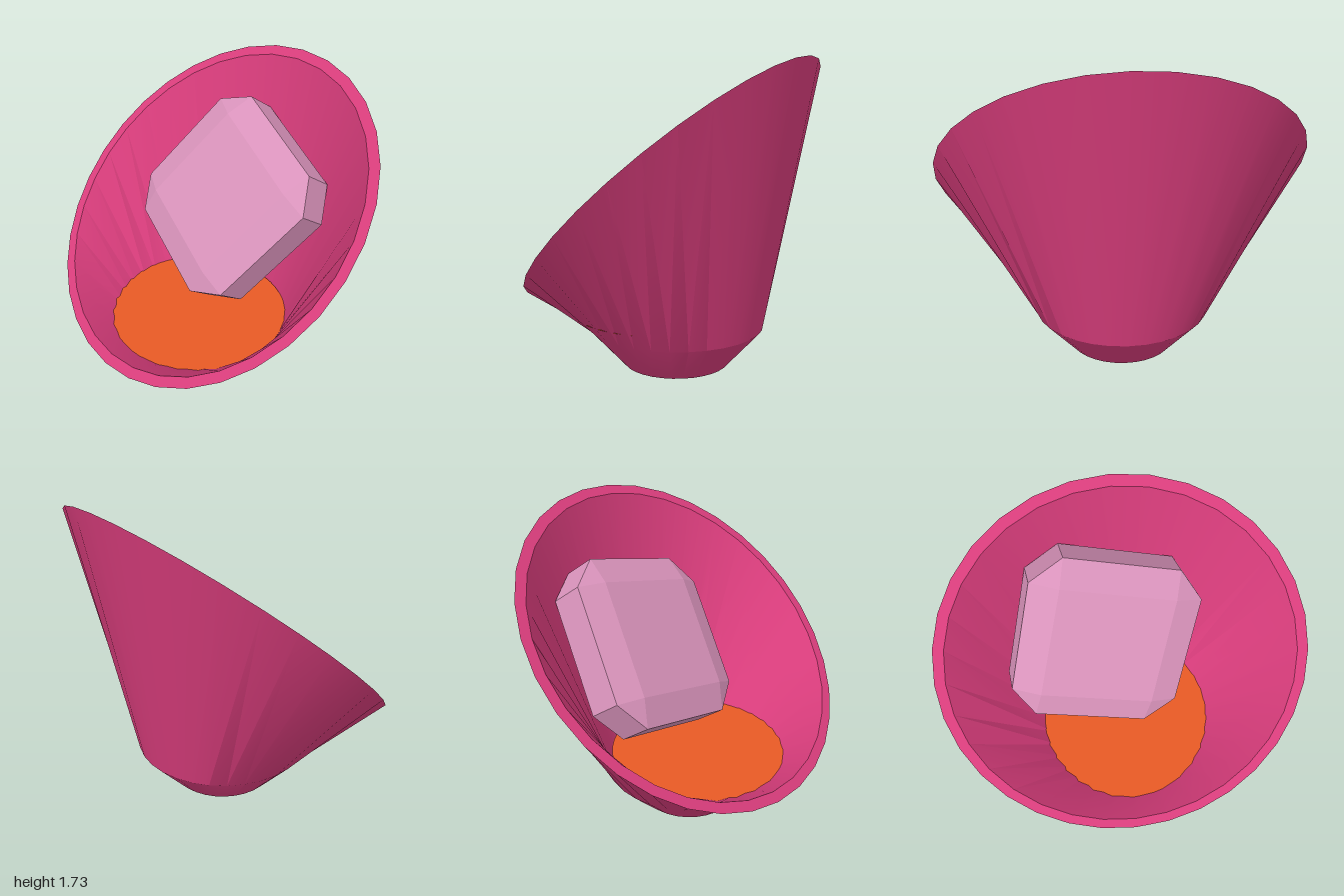
import * as THREE from 'three';
import { toCreasedNormals } from 'three/addons/utils/BufferGeometryUtils.js';
import { ConvexGeometry } from 'three/addons/geometries/ConvexGeometry.js';

const SIDES = 32;

function part(name, geometry, color, side = THREE.FrontSide) {
  const mesh = new THREE.Mesh(geometry, new THREE.MeshStandardMaterial({ color, side }));
  mesh.name = name;
  return mesh;
}

// Circle of points around a centre height, tilted by a quaternion
function ring(radius, y, tilt = new THREE.Quaternion()) {
  return Array.from({ length: SIDES }, (_, j) => {
    const a = (j / SIDES) * Math.PI * 2;
    const p = new THREE.Vector3(Math.cos(a) * radius, 0, Math.sin(a) * radius);
    p.applyQuaternion(tilt).y += y;
    return p;
  });
}

// Skin joining successive rings
function loft(rings) {
  const index = [];
  for (let i = 0; i < rings.length - 1; i++) {
    for (let j = 0; j < SIDES; j++) {
      const k = (j + 1) % SIDES;
      const a = i * SIDES + j, b = i * SIDES + k;
      const c = a + SIDES, d = b + SIDES;
      index.push(a, c, b, b, c, d);
    }
  }
  const geometry = new THREE.BufferGeometry().setFromPoints(rings.flat());
  geometry.setIndex(index);
  return toCreasedNormals(geometry, 0.45);
}

// Square block with cut corners and shallow bevelled faces
function crystalGeometry() {
  const half = 0.483, flat = 0.325, girdle = 0.097, top = 0.147;
  const points = [];
  for (const sx of [-1, 1]) for (const sy of [-1, 1]) for (const sz of [-1, 1]) {
    points.push(
      new THREE.Vector3(sx * half, sy * flat, sz * girdle),
      new THREE.Vector3(sx * flat, sy * half, sz * girdle),
      new THREE.Vector3(sx * flat, sy * flat, sz * top),
    );
  }
  return new ConvexGeometry(points);
}

export function createModel() {
  const group = new THREE.Group();

  // Flared cup with a slanted mouth: outside, rim, inside, floor
  const mouth = new THREE.Vector3(-0.625, 0.745, -0.234).normalize();
  const tilt = new THREE.Quaternion().setFromUnitVectors(new THREE.Vector3(0, 1, 0), mouth);
  group.add(part('cup', loft([
    ring(0, 0),
    ring(0.3, 0),
    ring(0.5, 0.22),
    ring(1.027, 1.05, tilt),
    ring(0.967, 1.05, tilt),
    ring(0.465, 0.24),
    ring(0.27, 0.04),
    ring(0, 0.04),
  ]), 0xd93d7c));

  // Liquid surface
  const liquid = part('liquid', new THREE.CircleGeometry(0.53, 48), 0xe85a25, THREE.DoubleSide);
  liquid.rotation.x = -Math.PI / 2;
  liquid.position.set(-0.07, 0.31, 0);
  group.add(liquid);

  // Crystal leaning on the tall wall
  const crystal = part('crystal', crystalGeometry(), 0xd993bb);
  const n = new THREE.Vector3(-0.78, 0.6, -0.186).normalize();
  const u = new THREE.Vector3(-0.43, -0.28, 0.86);
  u.addScaledVector(n, -u.dot(n)).normalize();
  const v = new THREE.Vector3().crossVectors(n, u);
  crystal.quaternion.setFromRotationMatrix(new THREE.Matrix4().makeBasis(u, v, n));
  crystal.position.set(0.246, 0.966, 0.0);
  group.add(crystal);

  return group;
}
